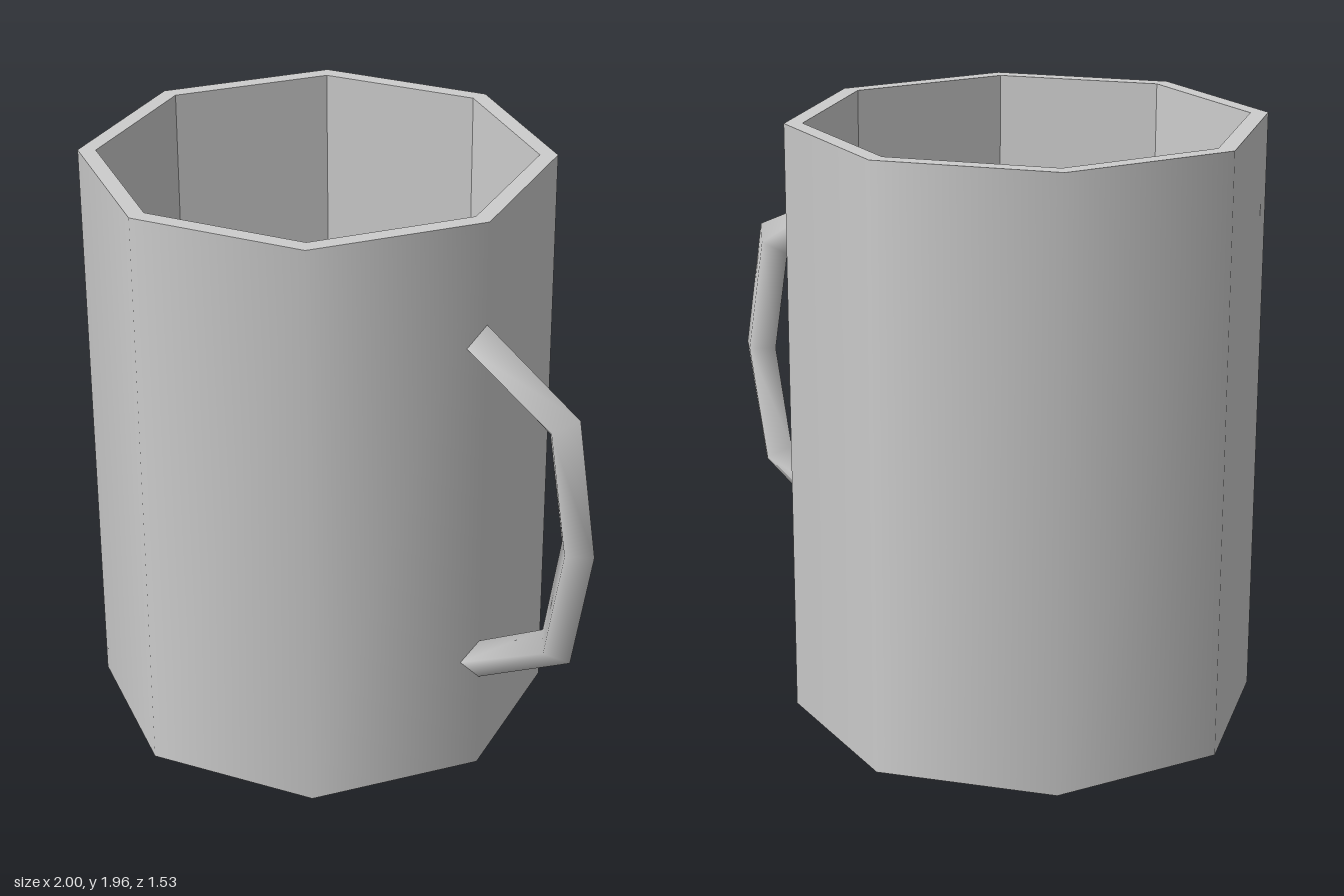
import * as THREE from 'three';

const SIDES = 8, CX = -0.237, R_OUT = 0.763, R_IN = 0.705, HEIGHT = 1.96, FLOOR = 0.06;

// Handle as a tube of diamond cross-sections: [outer x, y, inner x, y]
function handleGeometry() {
  const sections = [
    [0.526, 1.62, 0.526, 1.48],
    [0.92, 1.44, 0.80, 1.35],
    [1.0, 1.0, 0.865, 1.0],
    [0.92, 0.58, 0.80, 0.65],
    [0.526, 0.34, 0.526, 0.48],
  ];
  const half = 0.061, pos = [], index = [];
  sections.forEach(([ox, oy, ix, iy], i) => {
    // the ends wrap round the corner of the body
    const end = i === 0 || i === sections.length - 1;
    const mx = (ox + ix) / 2 - (end ? 0.026 : 0), my = (oy + iy) / 2;
    pos.push(ox, oy, 0, mx, my, half, ix, iy, 0, mx, my, -half);
  });
  for (let i = 0; i < sections.length - 1; i++) {
    for (let j = 0; j < 4; j++) {
      const a = i * 4 + j, b = i * 4 + (j + 1) % 4;
      index.push(a, a + 4, b, b, a + 4, b + 4);
    }
  }
  const geo = new THREE.BufferGeometry();
  geo.setAttribute('position', new THREE.Float32BufferAttribute(pos, 3));
  geo.setIndex(index);
  // face outward: the first face should look towards +z
  geo.computeVertexNormals();
  if (geo.attributes.normal.getZ(5) < 0) {
    geo.setIndex(index.reverse());
    geo.computeVertexNormals();
  }
  return geo;
}

export function createModel() {
  const group = new THREE.Group();
  group.name = 'mug';
  const grey = new THREE.MeshStandardMaterial({ color: 0xcccccc });
  grey.name = 'light grey';

  const add = (name, geo, x = 0, y = 0) => {
    const mesh = new THREE.Mesh(geo, grey);
    mesh.name = name;
    mesh.position.set(x, y, 0);
    group.add(mesh);
  };

  // Smooth-shaded octagonal outside
  add('outerWall', new THREE.CylinderGeometry(R_OUT, R_OUT, HEIGHT, SIDES, 1, true), CX, HEIGHT / 2);

  // Flat-shaded inside, mirrored so that it faces inward
  const depth = HEIGHT - FLOOR;
  const inner = new THREE.CylinderGeometry(R_IN, R_IN, depth, SIDES, 1, true)
    .scale(-1, 1, 1).toNonIndexed();
  inner.computeVertexNormals();
  add('innerWall', inner, CX, FLOOR + depth / 2);

  // Rim, inside floor and underside
  add('rim', new THREE.RingGeometry(R_IN, R_OUT, SIDES).rotateX(-Math.PI / 2), CX, HEIGHT);
  add('innerFloor', new THREE.CircleGeometry(R_IN, SIDES).rotateX(-Math.PI / 2), CX, FLOOR);
  add('base', new THREE.CircleGeometry(R_OUT, SIDES).rotateX(Math.PI / 2), CX, 0);

  add('handle', handleGeometry());
  return group;
}
